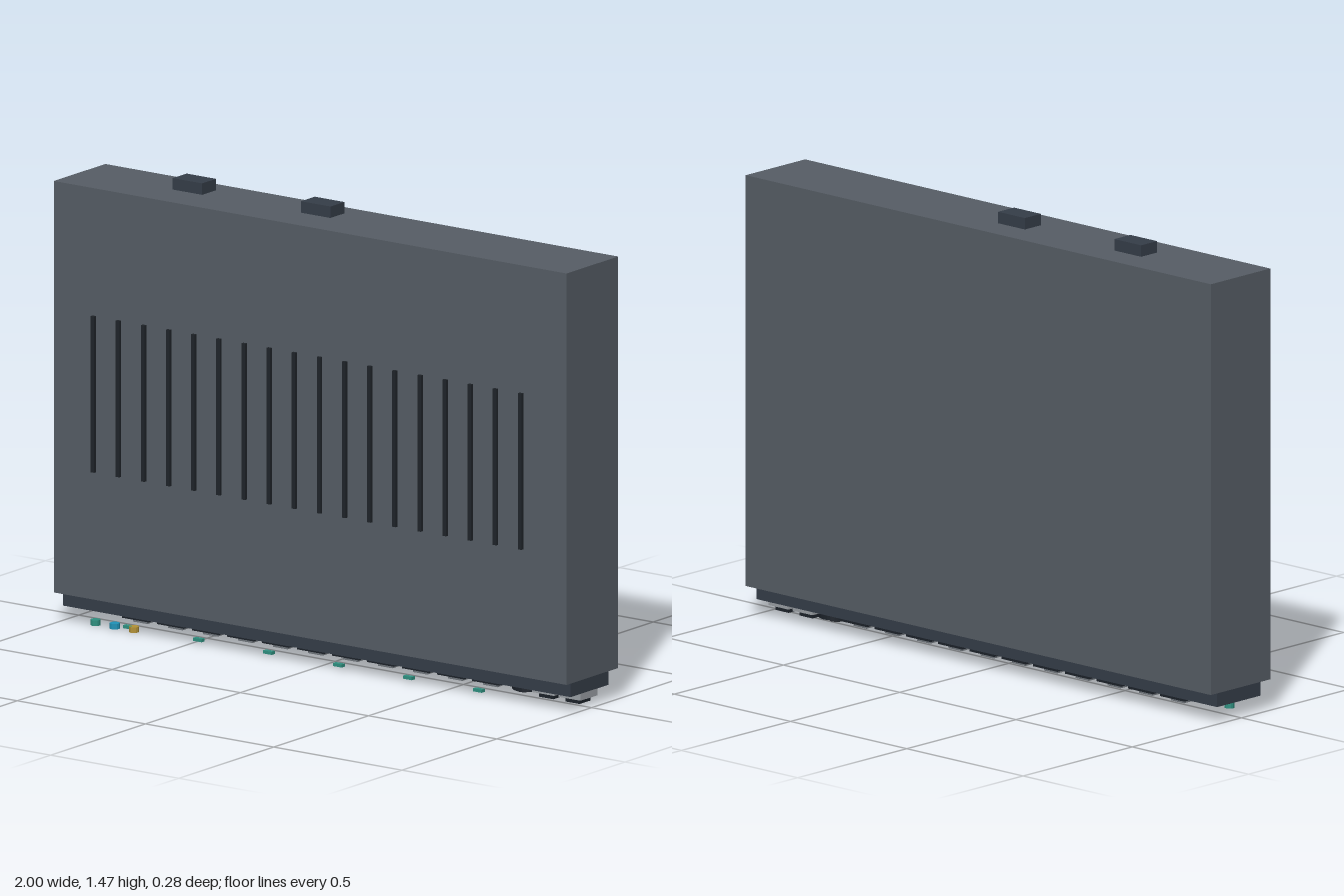
import * as THREE from 'three';

const mat = (color) => new THREE.MeshStandardMaterial({ color, flatShading: true });
const M = {
  body: mat(0x565d65), base: mat(0x353d48), plate: mat(0x20252c), port: mat(0x1c222a),
  slot: mat(0x1f2429), metal: mat(0x9a9fa4), contact: mat(0x70767c),
  green: mat(0x2f9080), blue: mat(0x1f93b8), amber: mat(0xb39236),
};

export function createModel() {
  const g = new THREE.Group();
  const add = (name, geo, m, x, y, z) => {
    const mesh = new THREE.Mesh(geo, m);
    mesh.name = name;
    mesh.position.set(x, y, z);
    g.add(mesh);
    return mesh;
  };
  // box given by its x centre and width, and its y and z ranges
  const box = (name, m, x, w, y0, y1, z0, z1) =>
    add(name, new THREE.BoxGeometry(w, y1 - y0, z1 - z0), m, x, (y0 + y1) / 2, (z0 + z1) / 2);

  // casing and the connector panel beneath it
  box('casing', M.body, 0, 2, 0.102, 1.432, -0.14, 0.132);
  box('connectorPanel', M.base, 0, 1.98, 0.054, 0.102, -0.101, 0.097);
  box('panelPlate', M.plate, 0, 1.97, 0.052, 0.054, -0.092, 0.088);

  // vent strips on the front
  for (let i = 0; i < 18; i++)
    box('ventStrip', M.slot, -0.842 + i * 0.098, 0.014, 0.515, 1.02, 0.13, 0.142);

  // buttons on top
  for (const x of [-0.563, -0.063])
    box('topButton', M.base, x, 0.115, 1.438, 1.475, -0.055, 0.018);

  // row of network sockets, every other one with a status light
  for (let i = 0; i < 11; i++) {
    const x = -0.753 + i * 0.1365;
    box('socket', M.port, x, 0.105, 0.03, 0.054, -0.054, 0.036);
    box('socketContacts', M.contact, x, 0.056, 0.016, 0.03, -0.03, 0.01);
    if (i % 2 === 0)
      box('statusLight', M.green, x, 0.034, 0.01, 0.02, 0.062, 0.078);
  }

  // power jack with its pin
  add('powerJack', new THREE.CylinderGeometry(0.048, 0.048, 0.03, 24), M.port, 0.742, 0.039, -0.01);
  add('powerPin', new THREE.CylinderGeometry(0.024, 0.024, 0.01, 16), M.slot, 0.73, 0.02, -0.01);

  // two shielded sockets with dark tongues
  for (const x of [0.835, 0.938]) {
    box('shieldedSocket', M.metal, x, 0.086, 0.028, 0.054, -0.056, 0.033);
    box('socketTongue', M.port, x, 0.056, 0.012, 0.028, -0.04, 0.017);
  }

  // round indicator lights
  [[-0.883, M.green], [-0.808, M.blue], [-0.733, M.amber]].forEach(([x, m]) =>
    add('indicatorLight', new THREE.CylinderGeometry(0.016, 0.016, 0.018, 12), m, x, 0.011, 0.07));

  return g;
}
